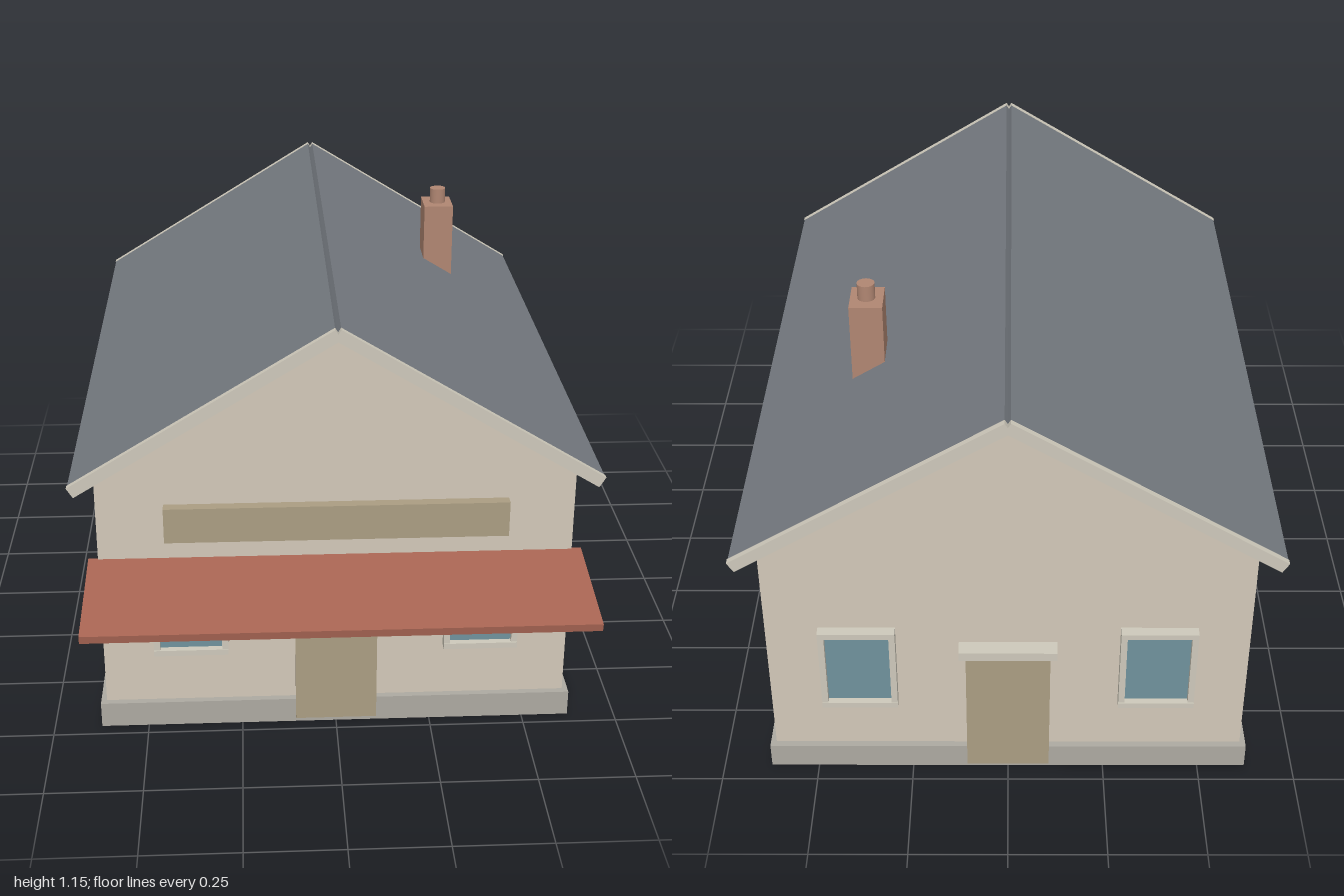
import * as THREE from 'three';

const mat = (color) => new THREE.MeshStandardMaterial({ color, flatShading: true });
const M = {
  wall: mat(0xd2c8b8), plinth: mat(0xada9a1), trim: mat(0xcdc8ba), door: mat(0xaa9d82),
  glass: mat(0x6f929c), roof: mat(0x74797f), awning: mat(0xa86553), brick: mat(0xb08672),
};

function box(parent, name, material, w, h, d, x, y, z) {
  const mesh = new THREE.Mesh(new THREE.BoxGeometry(w, h, d), material);
  mesh.name = name;
  mesh.position.set(x, y, z);
  parent.add(mesh);
  return mesh;
}

const ZF = 0.697, ZB = -0.933, XW = 0.61, ZMID = (ZF + ZB) / 2;

// Window facing +z, with its back on the local z = 0 plane
function makeWindow() {
  const g = new THREE.Group();
  g.name = 'window';
  const w = 0.194, h = 0.25, t = 0.016;
  box(g, 'windowPane', M.glass, w - 2 * t, h - 2 * t, 0.02, 0, 0, 0);
  for (const s of [-1, 1]) {
    box(g, 'windowJamb', M.trim, t, h - 2 * t, 0.035, s * (w - t) / 2, 0, 0.0075);
    box(g, s > 0 ? 'windowHead' : 'windowSill', M.trim, w, t, 0.038, 0, s * (h - t) / 2, 0.009);
  }
  return g;
}

// Door with its lintel, facing +z
function makeDoor() {
  const g = new THREE.Group();
  g.name = 'door';
  box(g, 'doorLeaf', M.door, 0.214, 0.38, 0.045, 0, 0.205, 0.004);
  box(g, 'doorLintel', M.trim, 0.248, 0.024, 0.055, 0, 0.41, 0.0155);
  return g;
}

export function createModel() {
  const house = new THREE.Group();
  house.name = 'house';

  // Plinth and gabled body
  box(house, 'plinth', M.plinth, 1.25, 0.07, 1.665, 0, 0.035, ZMID);
  const gable = new THREE.Shape([
    [-XW, 0.05], [XW, 0.05], [XW, 0.722], [0, 1.115], [-XW, 0.722],
  ].map(([x, y]) => new THREE.Vector2(x, y)));
  const body = new THREE.Mesh(
    new THREE.ExtrudeGeometry(gable, { depth: ZF - ZB, bevelEnabled: false }), M.wall);
  body.name = 'walls';
  body.position.z = ZB;
  house.add(body);

  // Roof slabs with pale verge boards at both gable ends
  const run = 0.662, rise = 0.405, ridge = 1.125;
  const length = Math.hypot(run, rise), pitch = Math.atan2(rise, run);
  for (const s of [-1, 1]) {
    const slope = new THREE.Group();
    slope.name = s > 0 ? 'roofLeft' : 'roofRight';
    slope.position.set(s * run / 2, ridge - rise / 2, 0);
    slope.rotation.z = -s * pitch;
    box(slope, 'roofSlab', M.roof, length, 0.028, 1.735, 0, 0, -0.12);
    for (const z of [0.753, -0.992])
      box(slope, 'vergeBoard', M.trim, length + 0.002, 0.031, 0.016, 0, 0, z);
    house.add(slope);
  }

  // Chimney
  box(house, 'chimney', M.brick, 0.086, 0.257, 0.107, 0.363, 0.979, -0.391);
  const pot = new THREE.Mesh(new THREE.CylinderGeometry(0.023, 0.023, 0.046, 24),
    new THREE.MeshStandardMaterial({ color: 0xb08672 }));
  pot.name = 'chimneyPot';
  pot.position.set(0.364, 1.128, -0.391);
  house.add(pot);

  // Sign board and sloping awning
  box(house, 'signBoard', M.door, 0.874, 0.095, 0.028, 0, 0.612, 0.729);
  const awning = box(house, 'awning', M.awning, 1.27, 0.021, 0.311, 0, 0.466, 0.845);
  awning.rotation.x = Math.atan2(0.044, 0.31);

  // Doors and windows on both gable walls
  for (const [z, turn] of [[ZF, 0], [ZB, Math.PI]]) {
    const end = new THREE.Group();
    end.name = turn ? 'backOpenings' : 'frontOpenings';
    end.position.z = z;
    end.rotation.y = turn;
    end.add(makeDoor());
    for (const s of [-1, 1]) {
      const win = makeWindow();
      win.position.set(s * 0.38, 0.345, 0);
      end.add(win);
    }
    house.add(end);
  }

  // Windows on the left wall
  for (const z of [0.25, -0.485]) {
    const win = makeWindow();
    win.position.set(XW, 0.356, z);
    win.rotation.y = Math.PI / 2;
    house.add(win);
  }

  return house;
}
